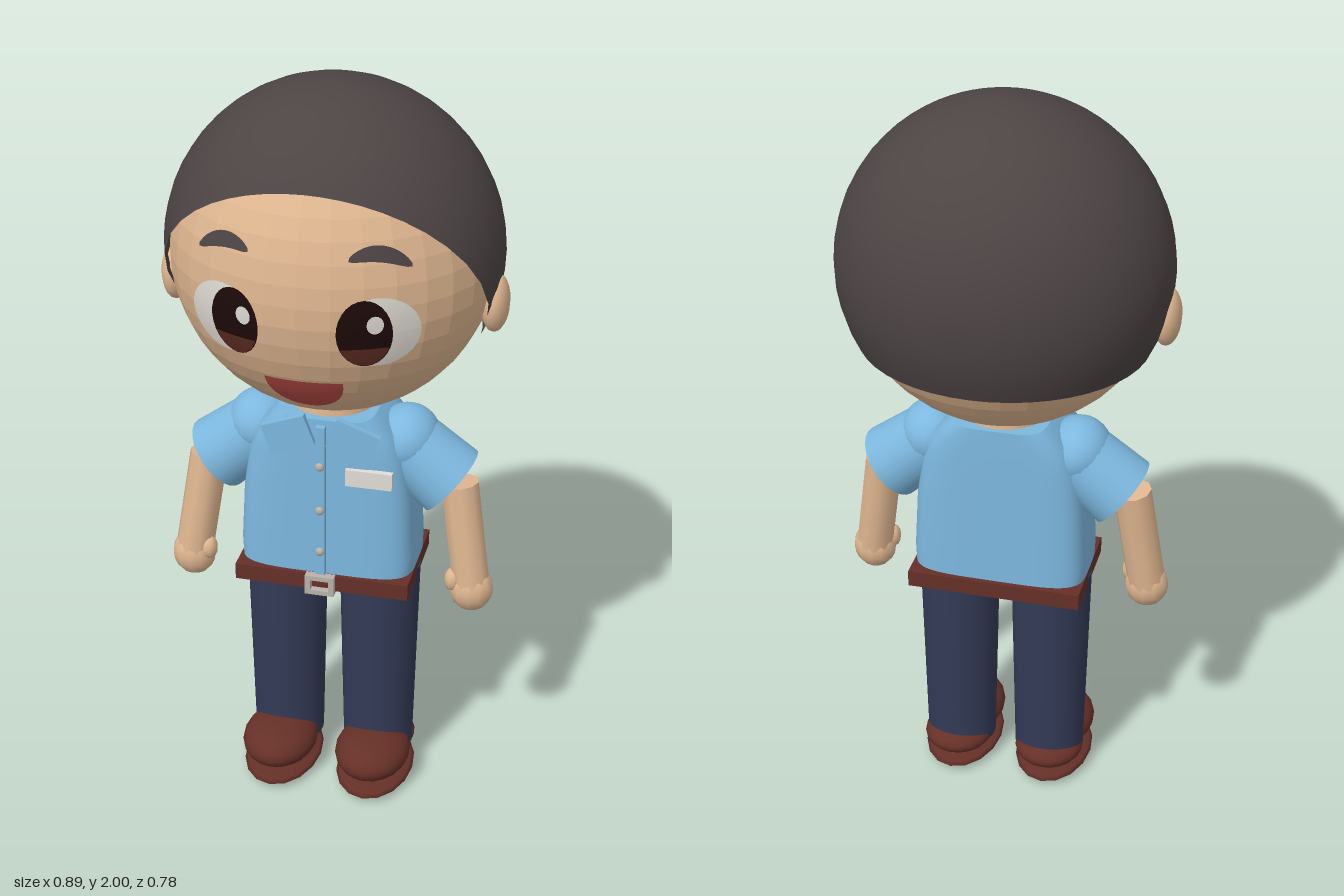
import * as THREE from 'three';

const mat = (name, color) => {
  const m = new THREE.MeshStandardMaterial({ color, side: THREE.DoubleSide });
  m.name = name;
  return m;
};

export function createModel() {
  const skin = mat('skin', 0xe0b791), hairMat = mat('hair', 0x4d4444), shirt = mat('shirt blue', 0x7db8df);
  const navy = mat('trouser navy', 0x333a56), leather = mat('brown leather', 0x653027);
  const white = mat('off white', 0xe2ded6), dark = mat('pupil', 0x1e0a0a), iris = mat('iris brown', 0x5c2a22);
  const red = mat('mouth red', 0xb54a44), metal = mat('grey metal', 0xb8b2aa);

  const root = new THREE.Group();
  const add = (name, geo, material, x = 0, y = 0, z = 0) => {
    const m = new THREE.Mesh(geo, material);
    m.name = name;
    m.position.set(x, y, z);
    root.add(m);
    return m;
  };
  const ball = (name, material, pos, size, w = 20, h = 14) => {
    const m = add(name, new THREE.SphereGeometry(1, w, h), material, ...pos);
    m.scale.set(...size);
    return m;
  };
  // grid surface from fn(u, v) -> [x, y, z]; wrap closes it along u
  const surface = (fn, nu, nv, wrap = false) => {
    const cols = wrap ? nu : nu + 1, pos = [], idx = [];
    for (let j = 0; j <= nv; j++) for (let i = 0; i < cols; i++) pos.push(...fn(i / nu, j / nv));
    for (let j = 0; j < nv; j++) for (let i = 0; i < nu; i++) {
      const k = (i + 1) % cols, a = j * cols + i, b = j * cols + k, c = a + cols, d = b + cols;
      idx.push(a, c, b, b, c, d);
    }
    const g = new THREE.BufferGeometry();
    g.setAttribute('position', new THREE.Float32BufferAttribute(pos, 3));
    g.setIndex(idx);
    g.computeVertexNormals();
    return g;
  };
  // tapered cylinder between two points
  const limb = (name, material, a, b, ra, rb, sides) => {
    const p = new THREE.Vector3(...a), q = new THREE.Vector3(...b), dir = q.clone().sub(p);
    const m = add(name, new THREE.CylinderGeometry(rb, ra, dir.length(), sides), material);
    m.position.copy(p).add(q).multiplyScalar(0.5);
    m.quaternion.setFromUnitVectors(new THREE.Vector3(0, 1, 0), dir.normalize());
  };

  // head: flat faceted ellipsoid
  const HY = 1.57, HZ = 0.006, R = [0.41, 0.418, 0.382];
  const headGeo = new THREE.SphereGeometry(1, 32, 24).scale(...R).toNonIndexed();
  headGeo.computeVertexNormals();
  add('head', headGeo, skin, 0, HY, HZ);
  add('neck', new THREE.CylinderGeometry(0.11, 0.12, 0.12, 20), skin, 0, 1.15, 0.01);

  // hair cap: ellipsoid cut by a sloping hairline and a level nape
  const H = [0.426, 0.43, 0.391];
  add('hair', surface((u, v) => {
    const phi = u * Math.PI * 2;
    const at = (t) => [H[0] * Math.sin(t) * Math.sin(phi), HY + H[1] * Math.cos(t), H[2] * Math.sin(t) * Math.cos(phi)];
    let lo = 0, hi = Math.PI;
    for (let k = 0; k < 30; k++) {
      const mid = (lo + hi) / 2, p = at(mid);
      if (p[1] > Math.max(1.365, 1.345 + 1.53 * p[2])) lo = mid; else hi = mid;
    }
    return at(lo * v);
  }, 48, 16, true), hairMat);

  // face paint: thin patches following the head
  const paint = (name, material, lift, fn, nu, nv) => add(name, surface((u, v) => {
    const [x, y] = fn(u, v);
    return [x, y, HZ + lift + R[2] * Math.sqrt(1 - (x / R[0]) ** 2 - ((y - HY) / R[1]) ** 2)];
  }, nu, nv), material);
  const disc = (cx, cy, rx, ry) => (u, v) =>
    [cx + rx * v * Math.cos(u * Math.PI * 2), cy + ry * v * Math.sin(u * Math.PI * 2)];

  for (const s of [-1, 1]) {
    const side = s > 0 ? 'left' : 'right';
    paint(side + 'EyeWhite', white, 0.003, disc(s * 0.187, 1.508, 0.092, 0.094), 28, 6);
    paint(side + 'Pupil', dark, 0.006, disc(s * 0.157, 1.508, 0.063, 0.091), 28, 5);
    paint(side + 'IrisGlow', iris, 0.0085, (u, v) => {
      const k = -0.98 + 0.55 * v;
      return [s * 0.157 + 0.06 * (u * 2 - 1) * Math.sqrt(1 - k * k), 1.508 + 0.089 * k];
    }, 12, 6);
    paint(side + 'EyeGlint', white, 0.0095, disc(s * 0.157 + 0.026, 1.535, 0.019, 0.024), 16, 2);
    paint(side + 'Eyebrow', hairMat, 0.006, (u, v) => {
      const k = u * 2 - 1;
      return [s * (0.188 + 0.068 * k), 1.705 - 0.012 * k - 0.022 * k * k + (v - 0.5) * 0.036 * Math.sqrt(1.05 - k * k)];
    }, 14, 3);
    ball(side + 'Ear', skin, [s * 0.41, 1.465, 0.015], [0.036, 0.077, 0.058], 16, 12);

    // short sleeve, arm and hand
    ball(side + 'Shoulder', shirt, [s * 0.195, 1.055, 0.01], [0.088, 0.088, 0.098]);
    limb(side + 'Sleeve', shirt, [s * 0.195, 1.04, 0.01], [s * 0.315, 0.942, 0.012], 0.093, 0.102, 24);
    limb(side + 'Arm', skin, [s * 0.338, 0.945, 0.02], [s * 0.382, 0.65, 0.045], 0.051, 0.051, 10);
    ball(side + 'Hand', skin, [s * 0.382, 0.643, 0.046], [0.059, 0.066, 0.052], 12, 10);
    ball(side + 'Thumb', skin, [s * 0.335, 0.67, 0.06], [0.023, 0.034, 0.026], 10, 8);

    // trouser leg and shoe
    const leg = add(side + 'Leg', new THREE.CylinderGeometry(0.109, 0.096, 0.59, 28), navy, s * 0.128, 0.375, 0.01);
    leg.scale.z = 0.94;
    ball(side + 'ShoeToe', leather, [s * 0.132, 0.103, 0.1], [0.103, 0.062, 0.128]);
    ball(side + 'ShoeHeel', leather, [s * 0.132, 0.088, -0.01], [0.095, 0.044, 0.1]);
    ball(side + 'Sole', leather, [s * 0.132, 0.025, 0.06], [0.106, 0.02, 0.168], 16, 8);

    // collar flap
    add(side + 'Collar', new THREE.BoxGeometry(0.12, 0.085, 0.018), shirt, s * 0.085, 1.103, 0.152).rotation.z = -s * 0.36;
  }
  paint('mouth', red, 0.005, (u, v) => {
    const a = Math.PI * u;
    return [0.002 - 0.097 * Math.cos(a), 1.358 - 0.104 * v * Math.sin(a) ** 0.9];
  }, 24, 8);

  // shirt body: rounded-box cross-sections as [y, half width, half depth]
  const rows = [[0.67, 0, 0], [0.67, 0.232, 0.133], [0.67, 0.232, 0.133], [0.74, 0.235, 0.133], [0.9, 0.226, 0.133],
    [1.03, 0.208, 0.133], [1.1, 0.178, 0.133], [1.15, 0.128, 0.132], [1.15, 0.128, 0.132], [1.15, 0, 0]];
  const pw = (c) => Math.sign(c) * Math.abs(c) ** 0.45;
  add('shirt', surface((u, v) => {
    const [y, w, d] = rows[Math.round(v * (rows.length - 1))], a = u * Math.PI * 2;
    return [w * pw(Math.cos(a)), y, 0.014 + d * pw(Math.sin(a))];
  }, 48, rows.length - 1, true), shirt);
  add('placket', new THREE.BoxGeometry(0.024, 0.44, 0.02), shirt, 0, 0.915, 0.152);
  for (const y of [0.77, 0.894, 1.024]) ball('button', metal, [0, y, 0.166], [0.012, 0.012, 0.008], 10, 8);
  add('nameBadge', new THREE.BoxGeometry(0.122, 0.047, 0.016), white, 0.126, 0.997, 0.15);

  // belt and open square buckle
  add('belt', new THREE.BoxGeometry(0.466, 0.045, 0.29), leather, 0, 0.67, 0.013);
  const frame = new THREE.Shape([[-0.039, -0.028], [0.039, -0.028], [0.039, 0.028], [-0.039, 0.028]].map((p) => new THREE.Vector2(...p)));
  frame.holes.push(new THREE.Path([[-0.024, -0.015], [-0.024, 0.015], [0.024, 0.015], [0.024, -0.015]].map((p) => new THREE.Vector2(...p))));
  add('buckle', new THREE.ExtrudeGeometry(frame, { depth: 0.022, bevelEnabled: false }), metal, 0, 0.669, 0.155);

  return root;
}
